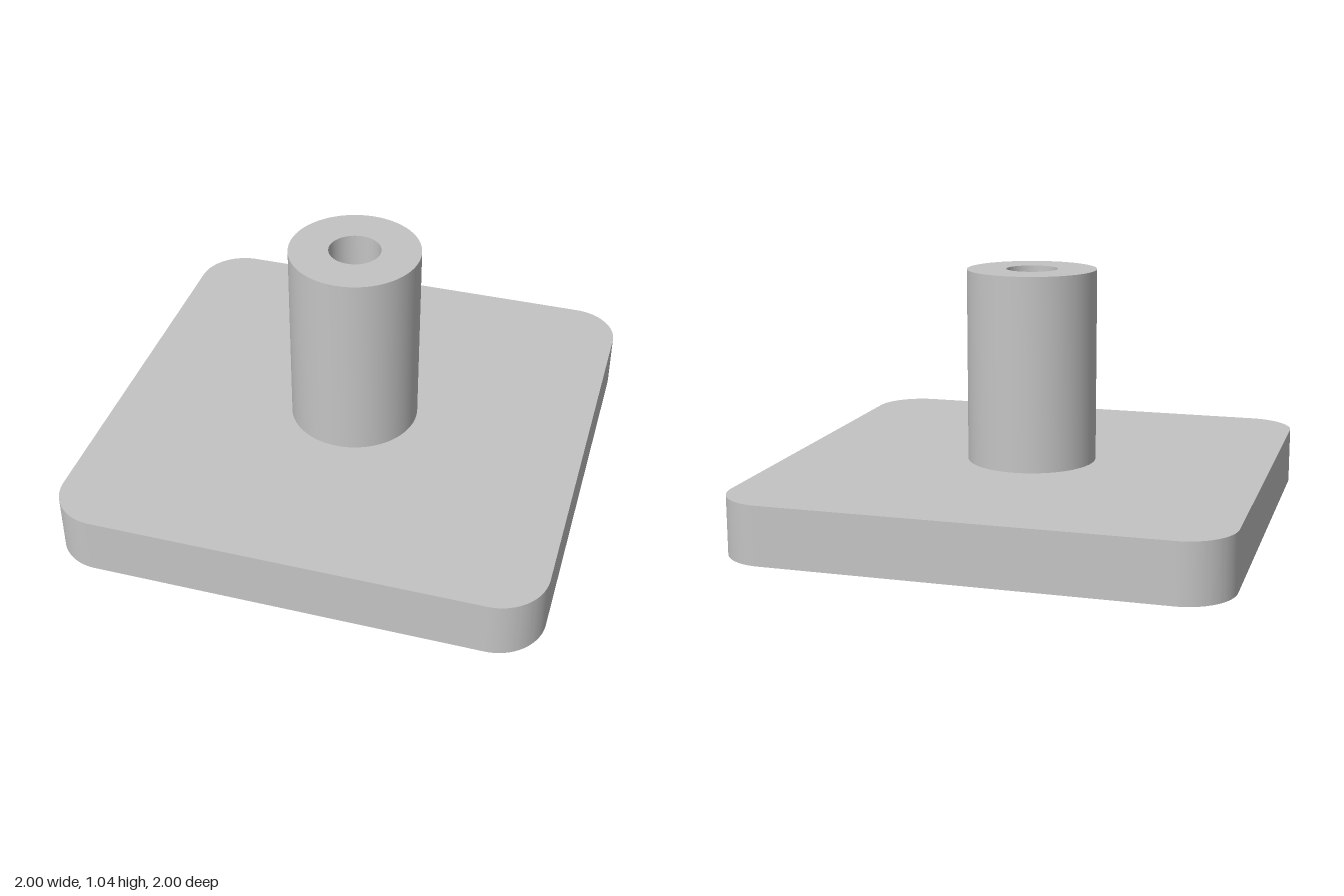
import * as THREE from 'three';
import { toCreasedNormals } from 'three/addons/utils/BufferGeometryUtils.js';

const PLATE_HEIGHT = 0.24, POST_TOP = 1.045;
const POST_RADIUS = 0.27, BORE_RADIUS = 0.107;

// Square outline with rounded corners
function roundedSquare(half, r) {
  const shape = new THREE.Shape();
  const c = half - r;
  [[c, c], [-c, c], [-c, -c], [c, -c]].forEach(([x, y], i) => {
    shape.absarc(x, y, r, i * Math.PI / 2, (i + 1) * Math.PI / 2, false);
  });
  shape.closePath();
  return shape;
}

export function createModel() {
  const model = new THREE.Group();
  model.name = 'postOnBasePlate';
  const grey = new THREE.MeshStandardMaterial({ color: 0xc4c4c4 });
  grey.name = 'plain grey';

  const add = (name, geometry) => {
    const mesh = new THREE.Mesh(toCreasedNormals(geometry, Math.PI / 6), grey);
    mesh.name = name;
    model.add(mesh);
  };

  // Flat base plate with rounded vertical corners
  const plate = new THREE.ExtrudeGeometry(roundedSquare(1, 0.2), {
    depth: PLATE_HEIGHT, bevelEnabled: false, curveSegments: 16,
  });
  plate.rotateX(-Math.PI / 2);
  add('basePlate', plate);

  // Hollow post: outer wall, top rim and bore down to the plate
  const profile = [
    [POST_RADIUS, PLATE_HEIGHT], [POST_RADIUS, POST_TOP],
    [BORE_RADIUS, POST_TOP], [BORE_RADIUS, PLATE_HEIGHT],
  ].map(([x, y]) => new THREE.Vector2(x, y));
  add('hollowPost', new THREE.LatheGeometry(profile, 64));

  return model;
}
